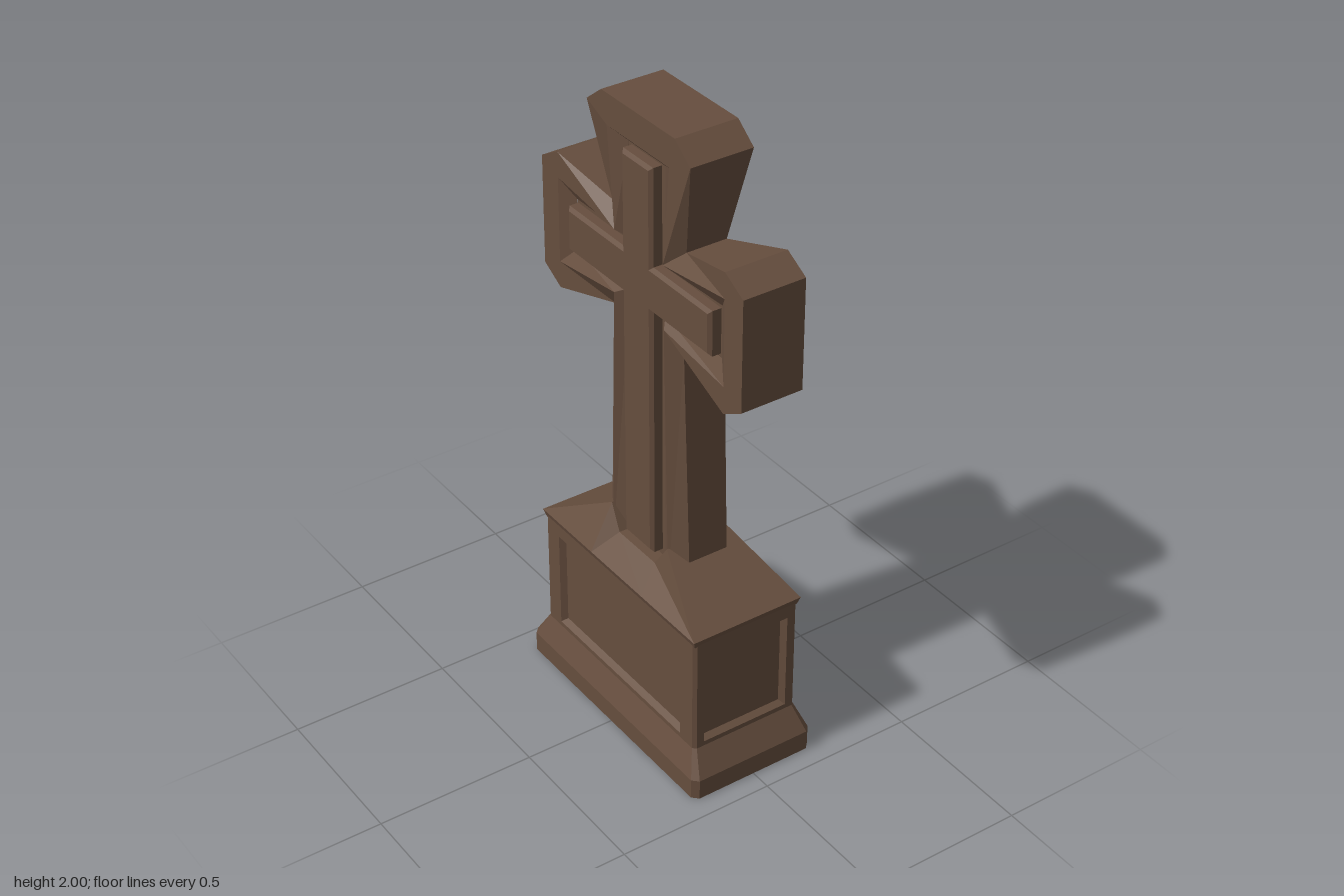
import * as THREE from 'three';

// Skin a sequence of equal-length closed rings (arrays of [x, y, z]) with flat faces.
function loft(rings) {
  const pos = [];
  for (let r = 0; r < rings.length - 1; r++) {
    const A = rings[r], B = rings[r + 1], n = A.length;
    for (let i = 0; i < n; i++) {
      const j = (i + 1) % n;
      pos.push(...A[i], ...B[i], ...B[j], ...A[i], ...B[j], ...A[j]);
    }
  }
  const g = new THREE.BufferGeometry();
  g.setAttribute('position', new THREE.Float32BufferAttribute(pos, 3));
  g.computeVertexNormals();
  return g;
}

// Rectangle with chamfered corners at height y, clockwise from above.
function footprint(hx, hz, y, c) {
  return [
    [hx - c, y, -hz], [hx, y, -hz + c], [hx, y, hz - c], [hx - c, y, hz],
    [-hx + c, y, hz], [-hx, y, hz - c], [-hx, y, -hz + c], [-hx + c, y, -hz],
  ];
}

// Half outline of [z, y, x] mirrored across z into a full ring on one side of x.
function crossRing(half, side) {
  const right = half.map(([z, y, x]) => [x * side, y, z]);
  const left = half.map(([z, y, x]) => [x * side, y, -z]).reverse();
  return [...right, ...left];
}

// Upright rectangle in local x/y at depth z, clockwise from outside.
function rect(w, y0, y1, z) {
  return [[-w, y0, z], [-w, y1, z], [w, y1, z], [w, y0, z]];
}

export function createModel() {
  const group = new THREE.Group();
  const stone = new THREE.MeshStandardMaterial({ color: 0x664e3e });
  stone.name = 'brownStone';

  const add = (name, geometry, x = 0, y = 0, z = 0, ry = 0) => {
    const mesh = new THREE.Mesh(geometry, stone);
    mesh.name = name;
    mesh.position.set(x, y, z);
    mesh.rotation.y = ry;
    group.add(mesh);
    return mesh;
  };

  // Plinth with a sloped shoulder
  add('plinth', loft([
    footprint(0, 0, 0, 0),
    footprint(0.21, 0.432, 0, 0.018),
    footprint(0.21, 0.432, 0.065, 0.018),
    footprint(0.18, 0.385, 0.145, 0.01),
    footprint(0.15, 0.35, 0.145, 0.01),
  ]));

  // Four block faces, each with a sunken panel
  const panel = (half, depth, inner) => loft([
    rect(half + 0.005, 0.13, 0.53, depth - 0.005),
    rect(half, 0.135, 0.525, depth),
    rect(inner, 0.16, 0.48, depth),
    rect(inner - 0.012, 0.172, 0.468, depth - 0.018),
    rect(0, 0.32, 0.32, depth - 0.018),
  ]);
  for (let k = 0; k < 4; k++) {
    const geometry = k % 2 ? panel(0.375, 0.18, 0.315) : panel(0.17, 0.385, 0.145);
    add('blockPanel', geometry, 0, 0, 0, k * Math.PI / 2);
  }

  // Lip and hipped cap, notched around the foot of the raised bar
  const capRing = (points) => {
    const front = points.map(([x, y, z]) => [x, y, -z]);
    const half = [...front, ...points.slice().reverse()];
    return [...half, ...half.map(([x, y, z]) => [-x, y, -z])];
  };
  add('cap', loft([
    capRing([[0.178, 0.515, 0.383], [0.178, 0.515, 0.13]]),
    capRing([[0.186, 0.54, 0.391], [0.186, 0.54, 0.13]]),
    capRing([[0.104, 0.68, 0.14], [0.112, 0.605, 0.09]]),
    capRing([[0, 0.68, 0.14], [0, 0.605, 0.09]]),
  ]));

  // Flared cross: outer edge, ridge around the recess, recess floor
  const edge = [
    [0.199, 0.55, 0.065], [0.165, 1.33, 0.065], [0.395, 1.28, 0.1],
    [0.475, 1.325, 0.1], [0.475, 1.67, 0.1], [0.395, 1.715, 0.1],
    [0.175, 1.655, 0.065], [0.24, 1.945, 0.1], [0.17, 2.0, 0.1],
  ];
  const ridge = [
    [0.14, 0.55, 0.1], [0.12, 1.4, 0.1], [0.395, 1.365, 0.1],
    [0.395, 1.365, 0.1], [0.395, 1.635, 0.1], [0.395, 1.635, 0.1],
    [0.115, 1.6, 0.1], [0.145, 1.905, 0.1], [0.145, 1.905, 0.1],
  ];
  const floor = [
    [0.085, 0.55, 0.07], [0.085, 1.42, 0.07], [0.345, 1.42, 0.07],
    [0.345, 1.42, 0.07], [0.345, 1.58, 0.07], [0.345, 1.58, 0.07],
    [0.085, 1.58, 0.07], [0.085, 1.875, 0.07], [0.085, 1.875, 0.07],
  ];
  add('crossBody', loft([
    crossRing(floor, -1), crossRing(ridge, -1), crossRing(edge, -1),
    crossRing(edge, 1), crossRing(ridge, 1), crossRing(floor, 1),
  ]));

  // Recess floors
  add('uprightFloor', new THREE.BoxGeometry(0.14, 1.325, 0.17), 0, 1.2125, 0);
  add('armFloor', new THREE.BoxGeometry(0.139, 0.16, 0.69), 0, 1.5, 0);

  // Raised bevelled cross on each face
  const outline = [
    [0.06, 0.635], [0.06, 1.44], [0.33, 1.44], [0.33, 1.56], [0.06, 1.56], [0.06, 1.86],
  ];
  const shape = new THREE.Shape([
    ...outline, ...outline.slice().reverse().map(([u, v]) => [-u, v]),
  ].map(([u, v]) => new THREE.Vector2(u, v)));
  const bar = new THREE.ExtrudeGeometry(shape, {
    depth: 0.03, bevelEnabled: true, bevelThickness: 0.01, bevelSize: 0.01, bevelSegments: 1,
  });
  for (const s of [1, -1]) add('raisedCross', bar, s * 0.068, 0, 0, s * Math.PI / 2);

  return group;
}
